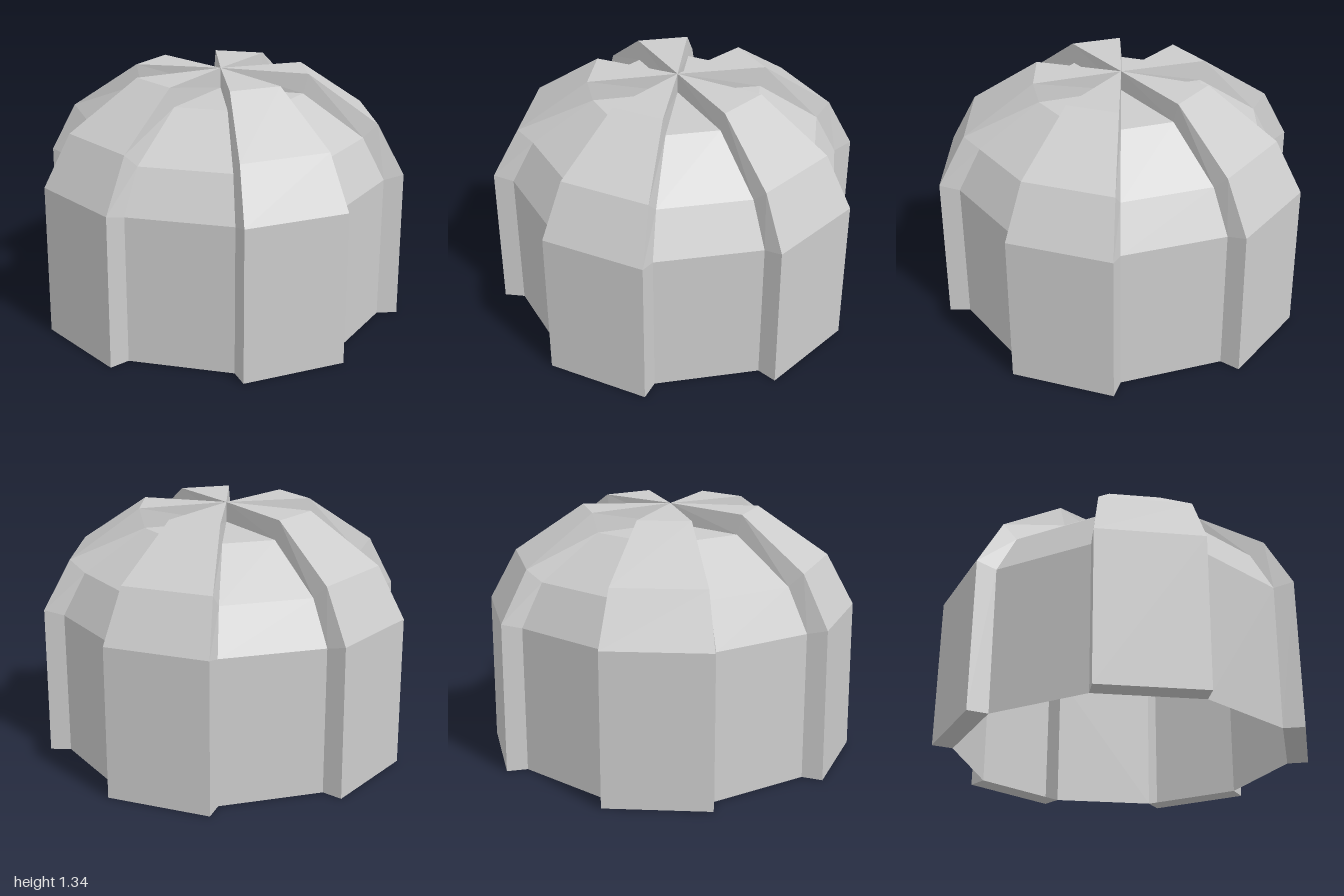
import * as THREE from 'three';

const SECTORS = 10;
const STEP = (Math.PI * 2) / SECTORS;
const AXIS_X = 0.005; // the ribs alternate, so the axis sits just off the middle

// Dome profile from base to apex: corner radius r, height y,
// and how far a raised rib moves outward (out) and upward (up) there
const PROFILE = [
  { r: 0.894, y: 0, out: 0.111, up: 0 },
  { r: 0.894, y: 0.782, out: 0.106, up: 0.027 },
  { r: 0.774, y: 1.008, out: 0.077, up: 0.072 },
  { r: 0.447, y: 1.23, out: 0.027, up: 0.105 },
  { r: 0, y: 1.235, out: 0, up: 0.108 },
];

// Corner column of a sector, shifted along the sector's own direction when raised
function column(angle, middle, raised) {
  return PROFILE.map((p) => {
    const out = raised ? p.out : 0;
    return new THREE.Vector3(
      p.r * Math.cos(angle) + out * Math.cos(middle),
      p.y + (raised ? p.up : 0),
      p.r * Math.sin(angle) + out * Math.sin(middle)
    );
  });
}

// Skin between two columns; quads closing to a point become triangles
function strip(out, right, left) {
  for (let i = 0; i < right.length - 1; i++) {
    quad(out, left[i], right[i], right[i + 1], left[i + 1]);
  }
}

function quad(out, a, b, c, d) {
  out.push(a, b, c);
  if (c.distanceTo(d) > 1e-6) out.push(a, c, d);
}

function panelMesh(points, material, name) {
  const geometry = new THREE.BufferGeometry().setFromPoints(points);
  geometry.computeVertexNormals();
  const mesh = new THREE.Mesh(geometry, material);
  mesh.name = name;
  return mesh;
}

export function createModel() {
  const model = new THREE.Group();
  model.name = 'ribbedDome';
  const material = new THREE.MeshStandardMaterial({
    color: 0xcccccc,
    flatShading: true,
    side: THREE.DoubleSide,
  });

  for (let k = 0; k < SECTORS; k++) {
    const middle = k * STEP;
    const a0 = middle - STEP / 2;
    const a1 = middle + STEP / 2;
    const raised = k % 2 === 1;
    const points = [];

    // Outer skin
    const right = column(a0, middle, raised);
    const left = column(a1, middle, raised);
    strip(points, right, left);

    if (raised) {
      // Side walls down to the neighbouring panels, and the bottom lip
      const innerRight = column(a0, middle, false);
      const innerLeft = column(a1, middle, false);
      strip(points, innerRight, right);
      strip(points, left, innerLeft);
      quad(points, innerRight[0], right[0], left[0], innerLeft[0]);
    }
    const mesh = panelMesh(points, material, raised ? 'raisedRib' : 'recessedPanel');
    mesh.position.x = AXIS_X;
    model.add(mesh);
  }
  return model;
}
